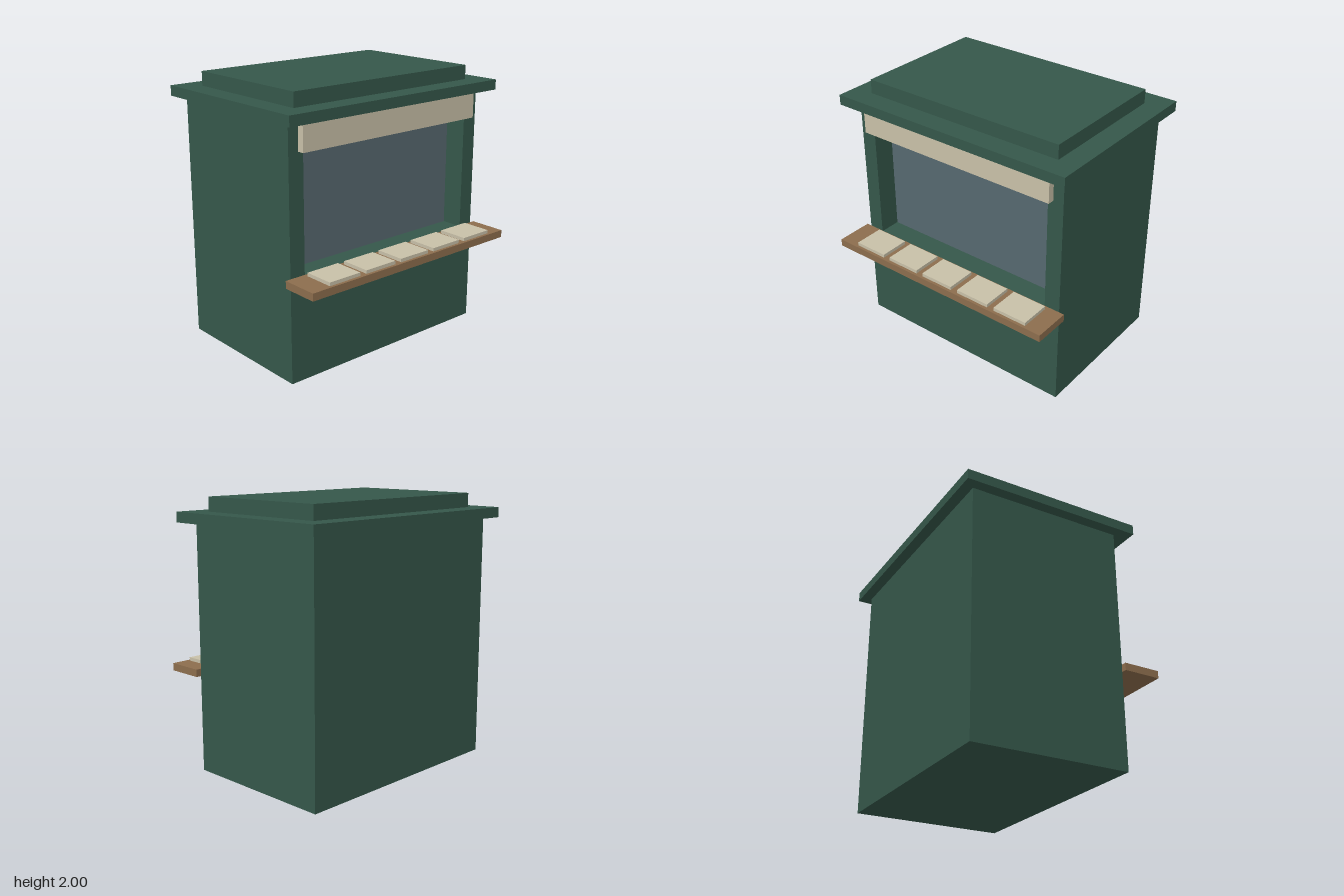
import * as THREE from 'three';

export function createModel() {
  const model = new THREE.Group();
  model.name = 'kiosk';

  const paint = (name, color) => {
    const m = new THREE.MeshStandardMaterial({ color });
    m.name = name;
    return m;
  };
  const green = paint('dark green', 0x35574a);
  const cream = paint('cream', 0xc8c0a8);
  const wood = paint('brown wood', 0x8c6d4d);
  const slate = paint('slate grey', 0x56686f);

  // Adds a box given by its limits on each axis
  const box = (name, mat, [x0, x1], [y0, y1], [z0, z1]) => {
    const mesh = new THREE.Mesh(new THREE.BoxGeometry(x1 - x0, y1 - y0, z1 - z0), mat);
    mesh.position.set((x0 + x1) / 2, (y0 + y1) / 2, (z0 + z1) / 2);
    mesh.name = name;
    model.add(mesh);
    return mesh;
  };

  const halfWidth = 0.885, wallTop = 1.82, front = 0.485, recess = 0.17;
  const inner = front - recess;

  // Cabin with a front wall cut open for the serving hatch
  box('cabin', green, [-halfWidth, halfWidth], [0, wallTop], [-0.685, inner]);
  const wall = new THREE.Shape([
    new THREE.Vector2(-halfWidth, 0), new THREE.Vector2(halfWidth, 0),
    new THREE.Vector2(halfWidth, wallTop), new THREE.Vector2(-halfWidth, wallTop),
  ]);
  wall.holes.push(new THREE.Path([
    new THREE.Vector2(-0.765, 0.765), new THREE.Vector2(-0.765, 1.66),
    new THREE.Vector2(0.765, 1.66), new THREE.Vector2(0.765, 0.765),
  ]));
  const frontWall = new THREE.Mesh(
    new THREE.ExtrudeGeometry(wall, { depth: recess, bevelEnabled: false }), green);
  frontWall.position.z = inner;
  frontWall.name = 'frontWall';
  model.add(frontWall);
  box('hatchPanel', slate, [-0.765, 0.765], [0.765, 1.66], [inner, inner + 0.005]);

  // Stepped roof
  box('roofSlab', green, [-0.965, 0.965], [wallTop, 1.895], [-0.765, 0.605]);
  box('roofCap', green, [-0.805, 0.805], [1.895, 2], [-0.6, 0.445]);

  // Sign board above the hatch
  box('signBoard', cream, [-0.805, 0.805], [1.62, 1.81], [front, 0.535]);

  // Counter with a row of papers
  box('counter', wood, [-0.925, 0.925], [0.715, 0.77], [front, 0.765]);
  for (let i = 0; i < 5; i++) {
    const x = 0.012 + (i - 2) * 0.3225;
    box('paperStack', cream, [x - 0.133, x + 0.133], [0.77, 0.795], [0.515, 0.743]);
  }

  return model;
}
